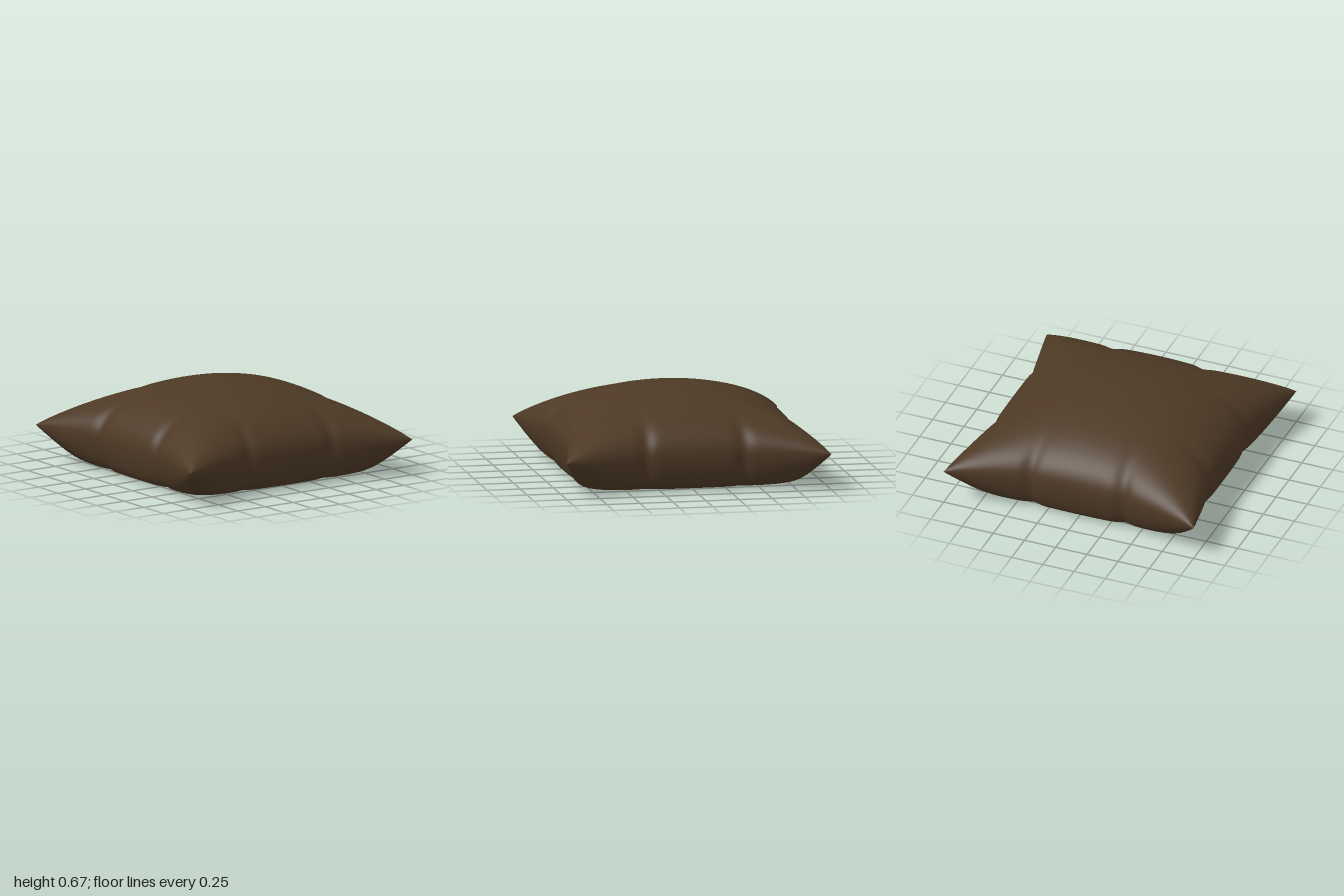
import * as THREE from 'three';

const SEGMENTS = 128;
const bell = (t, centre, width) => Math.exp(-(((t - centre) / width) ** 2));

// Rises from 0 to 1 between the pinched folds and the corner tips
const cornerRamp = (t) => {
  const r = (t - 0.42) / 0.58;
  return (r + Math.sqrt(r * r + 0.004)) / 2;
};

// Half width of the cushion at t along a side; the pinch fades towards the middle
const halfWidth = (t, inward) =>
  0.88 + 0.12 * cornerRamp(t) - 0.024 * bell(t, 0.37, 0.05) * inward ** 8;

// Short fold running inward from the seam at each pinch
const fold = (a, b) =>
  (1 - 0.15 * bell(a, 0.37, 0.06) * b ** 6) * (1 - 0.15 * bell(b, 0.37, 0.06) * a ** 6);

// One half of the cover: side = 1 domed top, side = -1 flattened underside
function coverHalf(side) {
  const geometry = new THREE.PlaneGeometry(2, 2, SEGMENTS, SEGMENTS);
  const p = geometry.attributes.position;
  for (let i = 0; i < p.count; i++) {
    // Sine spacing gathers the rows near the seam
    const u = Math.sin((p.getX(i) * Math.PI) / 2);
    const v = Math.sin((p.getY(i) * Math.PI) / 2);
    const a = Math.abs(u), b = Math.abs(v);
    const seamY = 0.253 + 0.015 * cornerRamp(Math.min(a, b));
    const puff = Math.max(0, (1 - u * u) * (1 - v * v));
    let y;
    if (side > 0) {
      y = seamY + 0.413 * puff ** 0.45 * fold(a, b);
    } else {
      // Soft limit makes the resting face flat
      const g = 2.6 * Math.sqrt(puff) * fold(a, b);
      y = seamY * (1 - g / (1 + g ** 6) ** (1 / 6));
    }
    p.setXYZ(i, u * halfWidth(b, a), y, -side * v * halfWidth(a, b));
  }
  geometry.computeVertexNormals();
  return geometry;
}

export function createModel() {
  const fabric = new THREE.MeshStandardMaterial({ color: 0x4d3925 });
  fabric.name = 'brown fabric';

  const cushion = new THREE.Group();
  cushion.name = 'cushion';
  for (const [name, side] of [['topCover', 1], ['bottomCover', -1]]) {
    const mesh = new THREE.Mesh(coverHalf(side), fabric);
    mesh.name = name;
    cushion.add(mesh);
  }
  return cushion;
}
